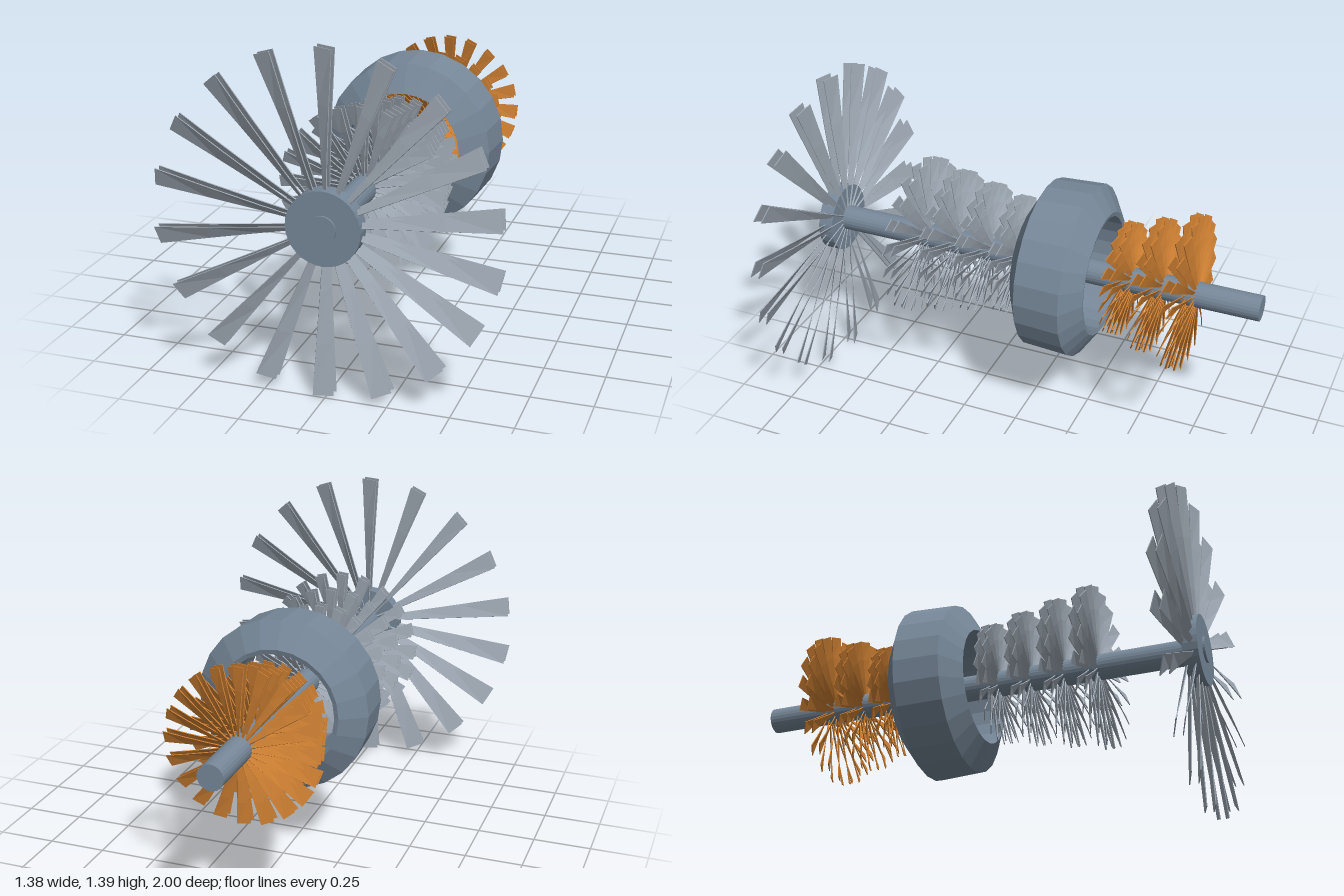
import * as THREE from 'three';
import { mergeGeometries } from 'three/addons/utils/BufferGeometryUtils.js';

const AXIS_Y = 0.697;
const mat = (name, color) => {
  const m = new THREE.MeshStandardMaterial({ color, flatShading: true });
  m.name = name;
  return m;
};

// Thin tapered blade along +y, twisted from root to tip and leaning forward
function bladePlate(rootR, tipR, rootW, tipW, z) {
  const g = new THREE.BoxGeometry(1, 1, 0.004, 1, 3, 1);
  const p = g.attributes.position;
  for (let i = 0; i < p.count; i++) {
    const t = p.getY(i) + 0.5;
    const w = p.getX(i) * THREE.MathUtils.lerp(rootW, tipW, t);
    const pitch = THREE.MathUtils.lerp(0.75, 0.33, t);
    const d = p.getZ(i);
    p.setXYZ(i,
      w * Math.cos(pitch) - d * Math.sin(pitch),
      THREE.MathUtils.lerp(rootR, tipR, t),
      w * Math.sin(pitch) + d * Math.cos(pitch) + z + (t - 0.5) * 0.024);
  }
  g.computeVertexNormals();
  return g;
}

// One stage: a ring of paired blades, one plate behind the other
function bladeStage(name, material, count, z, tipR, rootW, tipW) {
  const plates = [];
  for (let i = 0; i < count; i++) {
    for (const dz of [0.018, -0.018]) {
      plates.push(bladePlate(0.045, tipR, rootW, tipW, dz)
        .rotateZ(-0.018 + (i / count) * Math.PI * 2));
    }
  }
  const mesh = new THREE.Mesh(mergeGeometries(plates), material);
  mesh.name = name;
  mesh.position.z = z;
  return mesh;
}

// Cylinder lying along z between two depths
function zCylinder(name, material, r, z0, z1, sides) {
  const g = new THREE.CylinderGeometry(r, r, z1 - z0, sides).rotateX(Math.PI / 2);
  const mesh = new THREE.Mesh(g, material);
  mesh.name = name;
  mesh.position.z = (z0 + z1) / 2;
  return mesh;
}

export function createModel() {
  const steel = mat('slate steel', 0x778899);
  const silver = mat('silver blades', 0x9fa9b4);
  const bronze = mat('bronze blades', 0xcd7f32);
  steel.side = THREE.DoubleSide;

  const model = new THREE.Group();
  model.name = 'turbineCore';
  const rotor = new THREE.Group();
  rotor.name = 'rotor';
  rotor.position.y = AXIS_Y;
  model.add(rotor);

  // Shaft and front hub
  rotor.add(zCylinder('shaft', steel, 0.055, -1, 1, 24));
  rotor.add(zCylinder('fanHub', steel, 0.15, 0.925, 0.99, 32));

  // Fan
  rotor.add(bladeStage('fan', silver, 18, 0.955, 0.693, 0.012, 0.08));

  // Compressor stages shrink toward the chamber
  [[0.53, 0.347], [0.382, 0.317], [0.232, 0.289], [0.087, 0.26]].forEach(([z, r], i) =>
    rotor.add(bladeStage(`compressorStage${i + 1}`, silver, 20, z, r, 0.014, 0.055)));

  // Combustion chamber: bevelled ring around the shaft
  const profile = [
    [0.25, 0.02], [0.25, -0.31], [0.27, -0.315], [0.377, -0.245],
    [0.367, -0.045], [0.25, 0.02],
  ].map(([r, z]) => new THREE.Vector2(r, z));
  const chamber = new THREE.Mesh(
    new THREE.LatheGeometry(profile, 24).rotateX(Math.PI / 2), steel);
  chamber.name = 'combustionChamber';
  rotor.add(chamber);

  // Turbine stages grow toward the rear
  [[-0.412, 0.243], [-0.55, 0.287], [-0.692, 0.332]].forEach(([z, r], i) =>
    rotor.add(bladeStage(`turbineStage${i + 1}`, bronze, 20, z, r, 0.014, 0.055)));

  return model;
}
